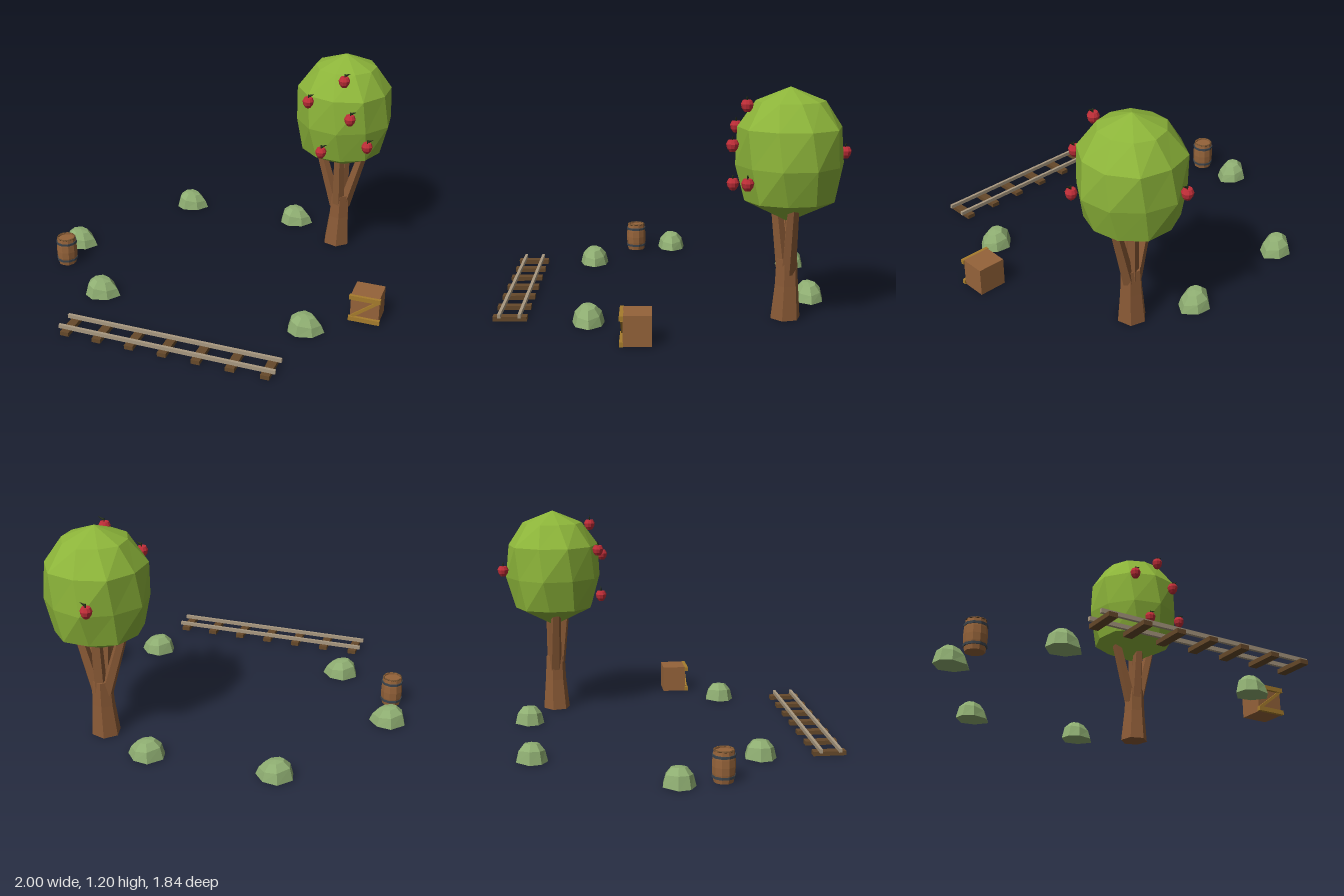
import * as THREE from 'three';

const mat = (color) => new THREE.MeshStandardMaterial({ color, flatShading: true });
const bark = mat(0x8a5a36), leaf = mat(0x8db53a), shrub = mat(0x8fae72), red = mat(0xc02e38);
const dark = mat(0x26301a), tieWood = mat(0x66492a), rail = mat(0xa89880);
const crateWood = mat(0x95633a), plank = mat(0xa67c2c), iron = mat(0x3c444c);

function add(parent, name, geometry, material, x = 0, y = 0, z = 0) {
  const mesh = new THREE.Mesh(geometry, material);
  mesh.name = name;
  mesh.position.set(x, y, z);
  parent.add(mesh);
  return mesh;
}

function group(parent, name, x = 0, y = 0, z = 0) {
  const g = new THREE.Group();
  g.name = name;
  g.position.set(x, y, z);
  parent.add(g);
  return g;
}

// Skin over rings listed bottom to top, closed by a fan at each end (raised by endLift)
function loft(rings, lift = [0, 0]) {
  const n = rings[0].length, pos = rings.flat().flat(), index = [];
  rings.slice(1).forEach((_, i) => {
    for (let j = 0; j < n; j++) {
      const a = i * n + j, b = i * n + (j + 1) % n;
      index.push(a, a + n, b, b, a + n, b + n);
    }
  });
  [rings[0], rings[rings.length - 1]].forEach((ring, e) => {
    const c = [0, 1, 2].map((k) => ring.reduce((s, p) => s + p[k], 0) / n);
    const centre = pos.length / 3, base = e ? (rings.length - 1) * n : 0;
    pos.push(c[0], c[1] + lift[e], c[2]);
    for (let j = 0; j < n; j++) {
      const a = base + j, b = base + (j + 1) % n;
      index.push(centre, ...(e ? [b, a] : [a, b]));
    }
  });
  const g = new THREE.BufferGeometry();
  g.setAttribute('position', new THREE.Float32BufferAttribute(pos, 3));
  g.setIndex(index);
  g.computeVertexNormals();
  return g;
}

const ring = (n, x, y, z, r, turn = 0, wobble = 0) => Array.from({ length: n }, (_, j) => {
  const a = (j / n) * Math.PI * 2 + turn;
  const k = r * (1 + wobble * Math.sin(j * 2.7 + y * 17));
  return [x + k * Math.cos(a), y, z + k * Math.sin(a)];
});

function buildTree(root) {
  const tree = group(root, 'tree', 0.545, 0, -0.595);
  add(tree, 'trunk', loft([
    ring(6, -0.005, 0, 0.005, 0.08, 0.3),
    ring(6, 0.002, 0.18, 0.002, 0.063, 0.3),
    ring(6, 0.005, 0.32, 0.003, 0.056, 0.3),
  ]), bark);
  // Start and end of each branch (x, z at the fork, x, z in the crown)
  const branches = [[-0.02, 0, -0.125, 0.01], [0.025, -0.005, 0.125, -0.01], [0, 0.02, 0, 0.062], [0.01, -0.01, 0.015, -0.02]];
  for (const [x0, z0, x1, z1] of branches) {
    add(tree, 'branch', loft([ring(5, x0, 0.24, z0, 0.038), ring(5, x1, 0.6, z1, 0.03)]), bark);
  }
  // Crown
  const profile = [[0.63, 0.235], [0.81, 0.275], [1.0, 0.268], [1.13, 0.175]];
  add(tree, 'crown', loft(
    profile.map(([y, r], i) => ring(10, 0, y, 0, r, 0.12 + i * 0.1, 0.025)), [-0.12, 0.07]), leaf);
  // Apples hang just outside the crown
  const spots = [[0.59, 1.11, -0.375], [0.4, 0.98, -0.335], [0.65, 0.92, -0.3],
    [0.74, 0.74, -0.37], [0.49, 0.695, -0.315], [0.47, 0.855, -0.89]];
  const body = new THREE.LatheGeometry([[0, -0.026], [0.015, -0.031], [0.027, -0.014], [0.032, 0.008],
    [0.023, 0.027], [0.01, 0.028], [0, 0.02]].map((p) => new THREE.Vector2(...p)), 10);
  const stem = new THREE.CylinderGeometry(0.004, 0.003, 0.026, 5);
  const blade = new THREE.ConeGeometry(0.008, 0.034, 4).scale(1, 1, 0.6).rotateZ(-1.1);
  for (const [x, y, z] of spots) {
    const apple = group(root, 'apple', x, y, z);
    add(apple, 'appleBody', body, red);
    add(apple, 'appleStem', stem, dark, 0.002, 0.032, 0);
    add(apple, 'appleLeaf', blade, dark, 0.02, 0.044, 0);
  }
}

function buildBushes(root) {
  const outline = [[-0.1, -0.013], [-0.037, -0.083], [0.043, -0.072], [0.1, -0.008],
    [0.053, 0.061], [-0.032, 0.083], [-0.086, 0.05]];
  const level = (k, y, slope) => outline.map(([x, z]) => [x * k, y - slope * x, z * k]);
  const shape = loft([level(1, 0, 0), level(0.83, 0.055, 0.13), level(0.48, 0.091, 0.08)], [0.01, 0.006]);
  for (const [x, z] of [[-0.455, -0.73], [0.24, -0.75], [-0.9, -0.015], [-0.525, 0.46], [0.64, 0.425]]) {
    add(root, 'bush', shape, shrub, x, 0, z);
  }
}

function buildTrack(root) {
  const track = group(root, 'track', 0.02, 0, 0.83);
  for (let i = -3; i <= 3; i++) {
    add(track, 'sleeper', new THREE.BoxGeometry(0.048, 0.023, 0.176), tieWood, i * 0.184, 0.0115, 0);
  }
  for (const s of [-1, 1]) {
    add(track, 'rail', new THREE.BoxGeometry(1.195, 0.021, 0.016), rail, 0, 0.0325, s * 0.052);
  }
}

function buildBarrel(root) {
  const barrel = group(root, 'barrel', -0.88, 0, 0.21);
  // Staves with a sunken lid
  const profile = [[0, 0], [0.051, 0], [0.058, 0.045], [0.06, 0.083], [0.058, 0.12],
    [0.052, 0.166], [0.045, 0.166], [0.045, 0.157], [0, 0.157]];
  add(barrel, 'staves', new THREE.LatheGeometry(profile.map((p) => new THREE.Vector2(...p)), 10), crateWood);
  for (const y of [0.03, 0.136]) {
    add(barrel, 'hoop', new THREE.CylinderGeometry(0.0605, 0.0605, 0.013, 10, 1), iron, 0, y, 0);
  }
  const rim = new THREE.TorusGeometry(0.05, 0.005, 4, 10).rotateX(Math.PI / 2);
  add(barrel, 'rim', rim, tieWood, 0, 0.163, 0);
}

function buildCrate(root) {
  const crate = group(root, 'crate', 0.91, 0, 0);
  add(crate, 'crateBox', new THREE.BoxGeometry(0.156, 0.155, 0.14), crateWood, 0, 0.0775, 0.168);
  for (const y of [0.0125, 0.1425]) {
    add(crate, 'crateRail', new THREE.BoxGeometry(0.17, 0.025, 0.02), plank, 0, y, 0.245);
  }
  const brace = add(crate, 'crateBrace', new THREE.BoxGeometry(0.175, 0.016, 0.012), plank, 0, 0.0775, 0.243);
  brace.rotation.z = 0.66;
}

export function createModel() {
  const root = new THREE.Group();
  root.name = 'orchardScene';
  buildTree(root);
  buildBushes(root);
  buildTrack(root);
  buildBarrel(root);
  buildCrate(root);
  return root;
}
